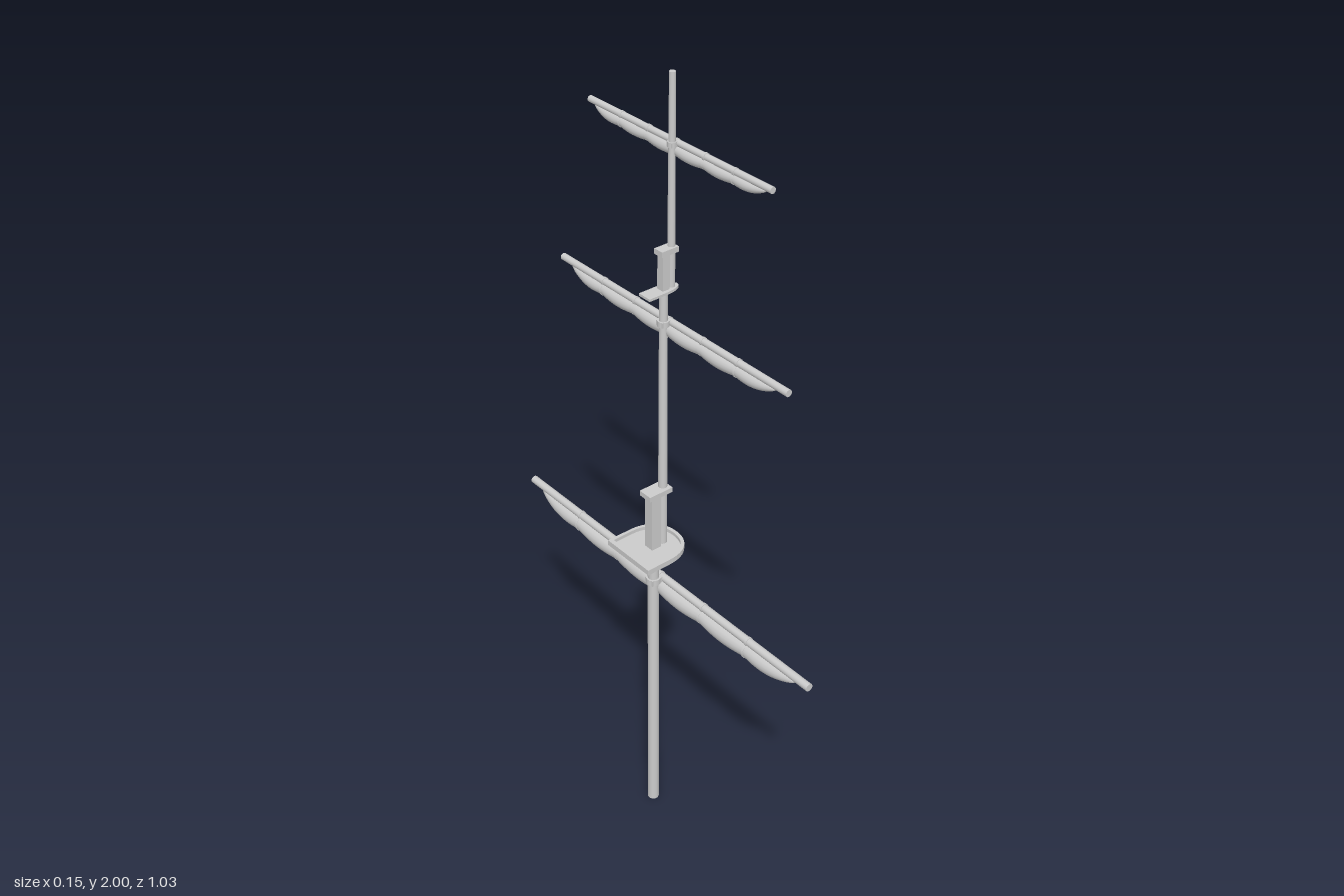
import * as THREE from 'three';

const material = new THREE.MeshStandardMaterial({ color: 0xcccccc, side: THREE.DoubleSide });

function add(parent, name, geometry, x = 0, y = 0, z = 0) {
  const mesh = new THREE.Mesh(geometry, material);
  mesh.name = name;
  mesh.position.set(x, y, z);
  parent.add(mesh);
  return mesh;
}

// Upright spar between two heights
function mast(parent, name, x, y0, y1, r0, r1) {
  add(parent, name, new THREE.CylinderGeometry(r1, r0, y1 - y0, 16), x, (y0 + y1) / 2);
}

// Plan outline, square at the back (-x) and rounded at the front (+x)
function deckOutline(path, x0, x1, halfWidth, corner) {
  const shoulder = x0 + (x1 - x0) * 0.5;
  path.moveTo(x0, -halfWidth);
  path.lineTo(shoulder - corner, -halfWidth);
  path.bezierCurveTo(shoulder + (x1 - shoulder) * 0.6, -halfWidth, x1, -halfWidth * 0.6, x1, 0);
  path.bezierCurveTo(x1, halfWidth * 0.6, shoulder + (x1 - shoulder) * 0.6, halfWidth, shoulder - corner, halfWidth);
  path.lineTo(x0, halfWidth);
  path.closePath();
  return path;
}

// Horizontal plate from a plan shape, resting on height y
function plate(parent, name, shape, y, height) {
  const geometry = new THREE.ExtrudeGeometry(shape, { depth: height, bevelEnabled: false, curveSegments: 12 });
  geometry.rotateX(-Math.PI / 2);
  add(parent, name, geometry, 0, y);
}

// Rolled sail: closed rings along z, hung from its top edge and scalloped between ties
function furledSail(halfLength, radius, bays) {
  const rings = bays * 10, sides = 16, positions = [], indices = [];
  for (let i = 0; i <= rings; i++) {
    const t = i / rings, u = Math.abs(2 * t - 1);
    const taper = u < 0.66 ? 1 - 0.1 * u : 0.934 * Math.sqrt(Math.max(0.04, 1 - ((u - 0.66) / 0.34) ** 2 * 0.9));
    const puff = 0.84 + 0.16 * Math.abs(Math.sin(Math.PI * bays * t));
    const r = radius * taper * puff;
    for (let j = 0; j < sides; j++) {
      const a = (j / sides) * Math.PI * 2;
      positions.push(Math.cos(a) * r, radius - r + Math.sin(a) * r, (2 * t - 1) * halfLength);
    }
  }
  for (let i = 0; i < rings; i++) {
    for (let j = 0; j < sides; j++) {
      const k = (j + 1) % sides;
      const a = i * sides + j, b = i * sides + k, c = a + sides, d = b + sides;
      indices.push(a, b, d, a, d, c);
    }
  }
  for (let j = 1; j < sides - 1; j++) {
    const e = rings * sides;
    indices.push(0, j + 1, j, e, e + j, e + j + 1);
  }
  const geometry = new THREE.BufferGeometry();
  geometry.setAttribute('position', new THREE.Float32BufferAttribute(positions, 3));
  geometry.setIndex(indices);
  geometry.computeVertexNormals();
  return geometry;
}

// Yard with its rolled sail, ties and the bracket that holds it to the mast
function yard(parent, name, o) {
  const group = new THREE.Group();
  group.name = name;
  group.position.set(o.x, o.y, 0);
  parent.add(group);
  add(group, 'yardSpar', new THREE.CylinderGeometry(o.r, o.r, o.half * 2, 14).rotateX(Math.PI / 2));
  const sailY = -o.r * 0.5 - o.sailR;
  add(group, 'furledSail', furledSail(o.sailHalf, o.sailR, 6), 0, sailY);
  for (let i = -2; i <= 2; i++) {
    const z = (i * o.sailHalf) / 3;
    const tieR = o.sailR * 0.84;
    add(group, 'yardTie', new THREE.CylinderGeometry(o.r * 1.15, o.r * 1.15, 0.006, 14).rotateX(Math.PI / 2), 0, 0, z);
    add(group, 'sailTie', new THREE.CylinderGeometry(tieR, tieR, 0.005, 16).rotateX(Math.PI / 2),
      0, sailY + o.sailR - tieR, z);
  }
  const reach = o.x - o.mastX + o.mastR;
  add(group, 'yardBracket', new THREE.BoxGeometry(reach, o.r * 1.5, o.mastR * 2), -reach / 2, 0);
  add(group, 'mastCollar', new THREE.CylinderGeometry(o.mastR * 1.25, o.mastR * 1.25, o.r * 1.6, 16), o.mastX - o.x);
}

// Flat cap joining two masts
function mastCap(parent, x0, x1, y, halfWidth) {
  add(parent, 'mastCap', new THREE.BoxGeometry(x1 - x0, 0.013, halfWidth * 2), (x0 + x1) / 2, y);
}

export function createModel() {
  const model = new THREE.Group();
  model.name = 'shipMast';

  // Three overlapping mast sections
  mast(model, 'lowerMast', -0.001, 0, 0.86, 0.0145, 0.0135);
  add(model, 'lowerMastHead', new THREE.BoxGeometry(0.027, 0.16, 0.027), -0.002, 0.915);
  mast(model, 'topMast', 0.027, 0.83, 1.53, 0.011, 0.0095);
  add(model, 'topMastHead', new THREE.BoxGeometry(0.019, 0.1, 0.019), 0.027, 1.56);
  mast(model, 'upperMast', 0.048, 1.51, 2, 0.009, 0.007);

  // Lookout platform with a raised rim
  const floor = deckOutline(new THREE.Shape(), -0.078, 0.07, 0.075, 0.01);
  plate(model, 'platformFloor', floor, 0.832, 0.005);
  const rim = deckOutline(new THREE.Shape(), -0.078, 0.07, 0.075, 0.01);
  rim.holes.push(deckOutline(new THREE.Path(), -0.067, 0.061, 0.067, 0.01));
  plate(model, 'platformRim', rim, 0.836, 0.01);

  // Small platform at the upper joint
  plate(model, 'crosstrees', deckOutline(new THREE.Shape(), -0.026, 0.066, 0.018, 0), 1.512, 0.006);

  mastCap(model, -0.026, 0.041, 0.992, 0.019);
  mastCap(model, 0.012, 0.058, 1.608, 0.013);

  // Yards from lowest to highest
  yard(model, 'lowerYard', {
    x: 0.023, y: 0.735, half: 0.515, r: 0.01, sailHalf: 0.47, sailR: 0.0245, mastX: -0.001, mastR: 0.0145,
  });
  yard(model, 'middleYard', {
    x: 0.043, y: 1.434, half: 0.38, r: 0.0085, sailHalf: 0.34, sailR: 0.0185, mastX: 0.027, mastR: 0.011,
  });
  yard(model, 'upperYard', {
    x: 0.061, y: 1.845, half: 0.288, r: 0.0075, sailHalf: 0.268, sailR: 0.0145, mastX: 0.048, mastR: 0.008,
  });

  return model;
}
